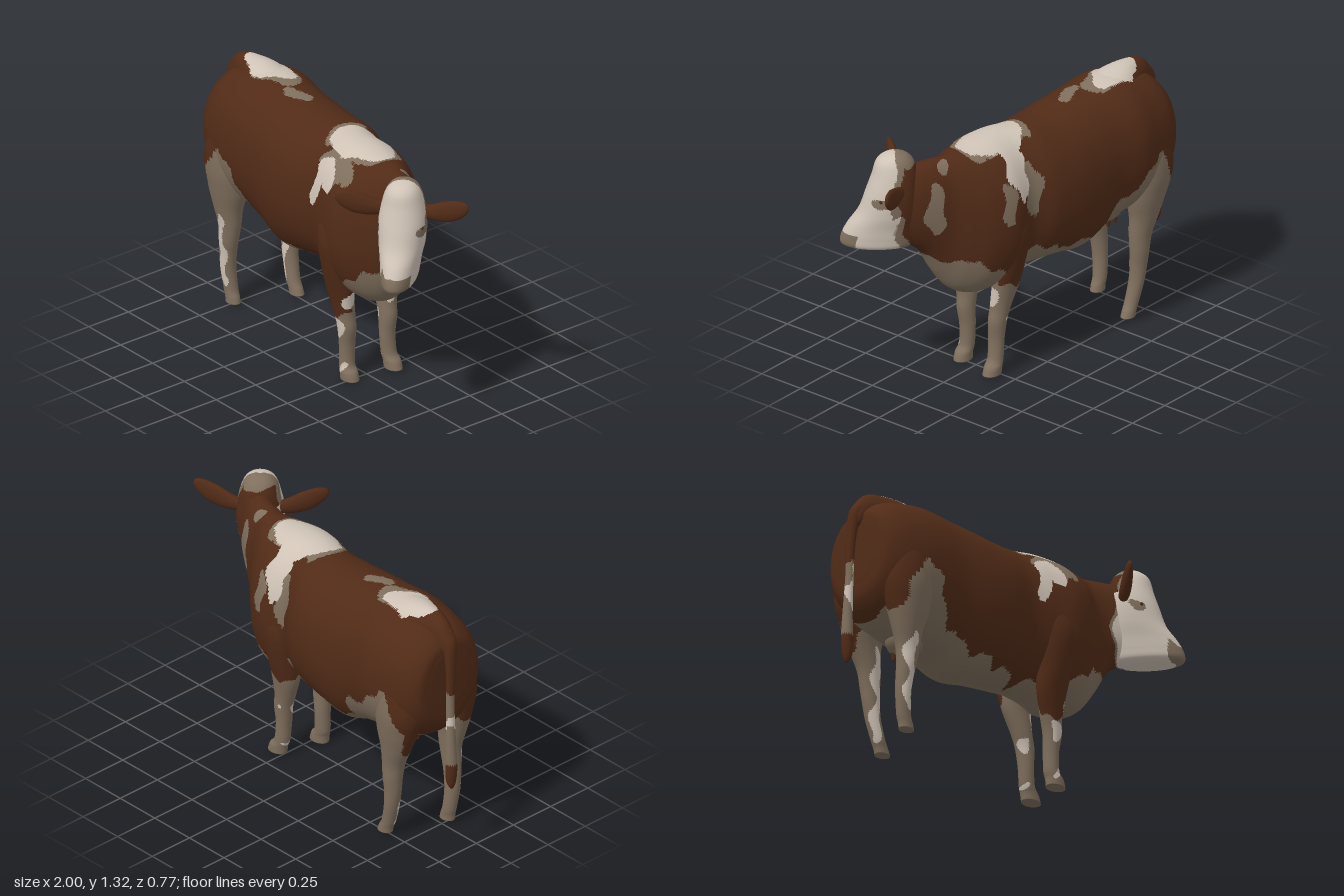
import * as THREE from 'three';

const material = (name, color) => Object.assign(new THREE.MeshStandardMaterial({ color }), { name });
const BROWN = 0, TAUPE = 1, CREAM = 2;
const coat = [material('brownCoat', 0x512b17), material('taupeCoat', 0x7f6f5d), material('creamCoat', 0xcfc3b6)];
const X = new THREE.Vector3(1, 0, 0), Y = new THREE.Vector3(0, 1, 0), Z = new THREE.Vector3(0, 0, 1);

// The head is turned towards +z: F points along the face, T towards its far ear
const F = new THREE.Vector3(0.63, 0, 0.777), T = new THREE.Vector3(0.777, 0, -0.63);
const headOrigin = new THREE.Vector3(0.72, 0, 0.15);
const headPoint = (s, y, t) => headOrigin.clone().addScaledVector(F, s).addScaledVector(T, t).setY(y);

// Smooth closed loft through rows of [x, y, z, halfU, halfV]; paint(x, y, z) picks each face's colour
function loft(name, rows, U, V, paint, { steps = 60, sides = 32, power = 2 } = {}) {
  const centres = new THREE.CatmullRomCurve3(rows.map(r => new THREE.Vector3(r[0], r[1], r[2])), false, 'catmullrom');
  const sizes = new THREE.CatmullRomCurve3(rows.map(r => new THREE.Vector3(r[3], r[4], 0)), false, 'catmullrom');
  const pos = [], faces = [[], [], []];
  const bend = c => Math.sign(c) * Math.abs(c) ** (2 / power);
  for (let i = 0; i <= steps; i++) {
    const c = centres.getPoint(i / steps), s = sizes.getPoint(i / steps);
    for (let j = 0; j < sides; j++) {
      const a = j / sides * Math.PI * 2;
      const p = c.clone().addScaledVector(U, s.x * bend(Math.cos(a))).addScaledVector(V, s.y * bend(Math.sin(a)));
      pos.push(p.x, p.y, p.z);
    }
  }
  const first = pos.length / 3, last = first + 1;
  for (const r of [rows[0], rows[rows.length - 1]]) pos.push(r[0], r[1], r[2]);
  const add = (...tri) => {
    const mid = k => (pos[tri[0] * 3 + k] + pos[tri[1] * 3 + k] + pos[tri[2] * 3 + k]) / 3;
    faces[paint(mid(0), mid(1), mid(2))].push(...tri);
  };
  for (let j = 0; j < sides; j++) {
    const k = (j + 1) % sides;
    add(first, k, j);
    add(last, steps * sides + j, steps * sides + k);
    for (let i = 0; i < steps; i++) {
      const a = i * sides + j, b = i * sides + k;
      add(a, b, a + sides);
      add(b, b + sides, a + sides);
    }
  }
  const g = new THREE.BufferGeometry();
  g.setAttribute('position', new THREE.Float32BufferAttribute(pos, 3));
  g.setIndex(faces.flat());
  let start = 0;
  faces.forEach((f, m) => { if (f.length) g.addGroup(start, f.length, m); start += f.length; });
  g.computeVertexNormals();
  return Object.assign(new THREE.Mesh(g, coat), { name });
}

// Ragged ellipsoid patches [colour, x, y, z, rx, ry, rz]; later ones lie on top
function patched(base, patches) {
  return (x, y, z) => {
    const wx = x + 0.014 * Math.sin(31 * y + 19 * z), wy = y + 0.016 * Math.sin(37 * x + 1) + 0.008 * Math.sin(71 * x);
    const wz = z + 0.014 * Math.sin(29 * x + 23 * y);
    let colour = base(wx, wy, wz);
    for (const [m, cx, cy, cz, rx, ry, rz] of patches)
      if (((wx - cx) / rx) ** 2 + ((wy - cy) / ry) ** 2 + ((wz - cz) / rz) ** 2 < 1) colour = m;
    return colour;
  };
}

// Height of the pale underside along the body
const edge = [[-1, 0.55], [-0.86, 0.6], [-0.8, 0.8], [-0.7, 0.92], [-0.62, 0.85], [-0.55, 0.68], [-0.35, 0.56],
  [0, 0.54], [0.25, 0.52], [0.32, 0.62], [0.4, 0.66], [0.5, 0.71], [0.7, 0.71], [1, 0.71]];
function underside(x, y) {
  const i = Math.max(1, edge.findIndex(e => e[0] > x)), [a, b] = [edge[i - 1], edge[i]];
  return y < a[1] + (b[1] - a[1]) * (x - a[0]) / (b[0] - a[0]) ? TAUPE : BROWN;
}

const bodyPaint = patched(underside, [
  // rump, flank and belly
  [TAUPE, -0.62, 1.3, -0.11, 0.18, 0.09, 0.09],
  [CREAM, -0.66, 1.31, -0.12, 0.15, 0.09, 0.1],
  [TAUPE, -0.37, 1.28, -0.07, 0.08, 0.05, 0.04],
  [TAUPE, -0.52, 0.64, -0.3, 0.13, 0.13, 0.16],
  [TAUPE, -0.15, 0.5, -0.22, 0.36, 0.1, 0.2],
  [TAUPE, 0.08, 0.58, -0.25, 0.14, 0.08, 0.16],
  // withers and shoulder
  [TAUPE, 0.2, 1.28, -0.04, 0.23, 0.1, 0.24],
  [TAUPE, 0.19, 1.17, 0.18, 0.16, 0.08, 0.12],
  [TAUPE, 0.12, 1.0, -0.27, 0.05, 0.15, 0.12],
  [TAUPE, 0.29, 0.98, -0.27, 0.04, 0.12, 0.12],
  [CREAM, 0.18, 1.28, -0.05, 0.17, 0.12, 0.19],
  [CREAM, 0.3, 1.27, 0, 0.1, 0.05, 0.1],
  [CREAM, 0.13, 1.14, 0.2, 0.095, 0.09, 0.1],
  [CREAM, 0.075, 1.01, 0.2, 0.035, 0.1, 0.14],
  [CREAM, 0.2, 1.15, -0.24, 0.07, 0.17, 0.12],
  // throat and neck
  [TAUPE, 0.65, 0.95, 0.15, 0.09, 0.19, 0.1],
  [CREAM, 0.68, 0.93, 0.16, 0.105, 0.18, 0.1],
  [TAUPE, 0.62, 1.0, -0.05, 0.045, 0.15, 0.07],
  [TAUPE, 0.55, 1.24, -0.05, 0.05, 0.05, 0.05],
]);

// Torso and neck, then the ridge over the rump: [x, top, bottom, z, half width]
const spans = list => list.map(([x, top, bottom, z, w]) => [x, (top + bottom) / 2, z, (top - bottom) / 2, w]);
const torso = spans([
  [-0.93, 1.13, 0.82, -0.11, 0.12], [-0.915, 1.19, 0.72, -0.11, 0.2], [-0.84, 1.25, 0.63, -0.11, 0.25],
  [-0.72, 1.285, 0.58, -0.105, 0.275], [-0.6, 1.3, 0.57, -0.105, 0.285], [-0.45, 1.285, 0.53, -0.09, 0.275],
  [-0.3, 1.27, 0.475, -0.08, 0.283], [-0.15, 1.255, 0.5, -0.075, 0.28], [0, 1.26, 0.515, -0.07, 0.255],
  [0.12, 1.265, 0.5, -0.03, 0.237], [0.25, 1.26, 0.46, -0.02, 0.257], [0.37, 1.245, 0.46, -0.01, 0.225],
  [0.46, 1.24, 0.51, 0, 0.165], [0.53, 1.24, 0.61, 0.025, 0.128], [0.6, 1.24, 0.74, 0.05, 0.118],
  [0.68, 1.235, 0.81, 0.09, 0.108], [0.74, 1.2, 0.86, 0.12, 0.085],
]);
const ridge = spans([[-0.955, 1.18, 1.12, -0.115, 0.02], [-0.935, 1.235, 1.1, -0.115, 0.042],
  [-0.88, 1.295, 1.1, -0.112, 0.058], [-0.8, 1.317, 1.08, -0.11, 0.085], [-0.68, 1.315, 1.06, -0.11, 0.13],
  [-0.5, 1.275, 1.05, -0.1, 0.14]]);

// Legs on the +z side, hip to hoof
const hindLeg = [[-0.745, 1.08, 0.045, 0.1, 0.08], [-0.745, 0.92, 0.055, 0.14, 0.11], [-0.75, 0.78, 0.062, 0.145, 0.11],
  [-0.752, 0.66, 0.065, 0.12, 0.09], [-0.755, 0.55, 0.065, 0.086, 0.068], [-0.75, 0.45, 0.06, 0.064, 0.054],
  [-0.757, 0.36, 0.06, 0.053, 0.048], [-0.767, 0.28, 0.056, 0.045, 0.043], [-0.77, 0.19, 0.052, 0.039, 0.04],
  [-0.76, 0.09, 0.045, 0.037, 0.036], [-0.747, 0.045, 0.045, 0.04, 0.034], [-0.742, 0.015, 0.045, 0.043, 0.034]];
const foreLeg = [[0.22, 1.0, 0.1, 0.1, 0.09], [0.21, 0.88, 0.115, 0.13, 0.11], [0.2, 0.76, 0.125, 0.12, 0.11],
  [0.19, 0.6, 0.125, 0.096, 0.08], [0.187, 0.48, 0.115, 0.082, 0.06], [0.2, 0.36, 0.1, 0.058, 0.05],
  [0.212, 0.28, 0.095, 0.05, 0.046], [0.208, 0.18, 0.09, 0.039, 0.042], [0.21, 0.08, 0.092, 0.04, 0.04],
  [0.228, 0.04, 0.095, 0.05, 0.042], [0.236, 0, 0.095, 0.055, 0.042]];
const farSide = (leg, mirror, shift, lift) => leg.map(([x, y, z, a, b]) =>
  [x + shift * Math.max(0, 1 - y / 0.8), y + lift * Math.max(0, 1 - y), 2 * mirror - z, a, b]);
const streaks = (x, z) => [
  [CREAM, x, 0.44, z + 0.04, 0.035, 0.14, 0.045], [CREAM, x, 0.22, z + 0.04, 0.026, 0.15, 0.045]];
const foreSpots = (x, z, dz) => [
  [CREAM, x, 0.3, z + dz, 0.035, 0.06, 0.05], [CREAM, x + 0.04, 0.42, z, 0.04, 0.06, 0.04],
  [CREAM, x + 0.01, 0.07, z + dz, 0.025, 0.022, 0.04]];

export function createModel() {
  const cow = new THREE.Group();
  cow.name = 'cow';
  cow.add(loft('body', torso, Y, Z, bodyPaint, { steps: 220, sides: 110, power: 2.15 }));
  cow.add(loft('rumpRidge', ridge, Y, Z, bodyPaint, { steps: 80, sides: 48 }));

  // Legs
  const leg = (name, rows, base, spots) => cow.add(loft(name, rows, X, Z, patched(base, spots), { steps: 110, sides: 40 }));
  leg('leftHindLeg', hindLeg, underside, streaks(-0.765, 0.055));
  leg('rightHindLeg', farSide(hindLeg, -0.105, 0.13, 0), underside,
    [[BROWN, -0.85, 0.66, -0.24, 0.06, 0.2, 0.12], ...streaks(-0.68, -0.26)]);
  leg('leftForeLeg', foreLeg, (x, y, z) => y > 0.66 || (y > 0.36 && z > 0.09) ? BROWN : TAUPE, foreSpots(0.2, 0.1, 0.04));
  leg('rightForeLeg', farSide(foreLeg, -0.02, 0.055, 0.012),
    (x, y, z) => y > 0.66 || (y > 0.5 && z < -0.16) ? BROWN : TAUPE, foreSpots(0.23, -0.14, 0.02));

  // Head, in level slices: [y, back, front, half width]
  const slices = [[1.31, -0.04, 0, 0.025], [1.295, -0.08, 0.045, 0.058], [1.26, -0.11, 0.08, 0.085], [1.19, -0.13, 0.1, 0.106],
    [1.1, -0.14, 0.13, 0.12], [1.0, -0.145, 0.165, 0.115], [0.92, -0.145, 0.22, 0.1], [0.86, -0.135, 0.25, 0.092],
    [0.815, -0.11, 0.252, 0.083], [0.795, -0.05, 0.21, 0.055]];
  const headRows = slices.map(([y, b, f, w]) => [...headPoint((b + f) / 2, y, 0).toArray(), (f - b) / 2, w]);
  const eyePatch = t => [TAUPE, ...headPoint(0.035, 1.08, t).toArray(), 0.05, 0.028, 0.05];
  const face = (x, y, z) => {
    const s = (x - headOrigin.x) * F.x + (z - headOrigin.z) * F.z;
    const t = (x - headOrigin.x) * T.x + (z - headOrigin.z) * T.z;
    const hairline = y > 1.14 ? -0.015 : t < 0.02 ? -0.09 : y > 0.98 ? 0.01 : -0.03;
    if (y < 0.89 && s > 0.175) return TAUPE;
    return s > hairline ? CREAM : s > hairline - 0.04 || y > 1.26 ? TAUPE : BROWN;
  };
  cow.add(loft('head', headRows, F, T.clone().negate(), patched(face, [eyePatch(-0.1), eyePatch(0.1)]),
    { steps: 100, sides: 72, power: 2.1 }));

  // Ears, rising and sweeping forward, and eyes on both sides of the head
  for (const side of [-1, 1]) {
    const ear = [[0.08, 1.135, 0.03, 0.025], [0.14, 1.14, 0.042, 0.028], [0.2, 1.155, 0.055, 0.028],
      [0.26, 1.173, 0.056, 0.024], [0.31, 1.192, 0.04, 0.016], [0.335, 1.202, 0.016, 0.008]]
      .map(([t, y, a, b]) => [...headPoint(-0.065 + t * 0.26, y, side * t).toArray(), a, b]);
    cow.add(loft(side < 0 ? 'rightEar' : 'leftEar', ear, Y, F.clone().multiplyScalar(side), () => BROWN, { steps: 20, sides: 16 }));
    const eye = new THREE.Mesh(new THREE.SphereGeometry(0.012, 12, 8), coat[BROWN]);
    eye.position.copy(headPoint(0.05, 1.085, side * 0.104));
    eye.name = 'eye';
    cow.add(eye);
  }

  // Tail, hanging from the rump ridge, with a pale middle and a brown switch
  const tail = [[-0.88, 1.25, -0.112, 0.045, 0.042], [-0.93, 1.19, -0.116, 0.034, 0.038],
    [-0.948, 1.1, -0.125, 0.026, 0.032], [-0.955, 1, -0.13, 0.021, 0.026], [-0.957, 0.85, -0.135, 0.019, 0.022],
    [-0.965, 0.65, -0.14, 0.025, 0.026], [-0.97, 0.5, -0.14, 0.03, 0.03], [-0.968, 0.41, -0.14, 0.024, 0.025],
    [-0.972, 0.37, -0.14, 0.008, 0.008]];
  cow.add(loft('tail', tail, X, Z, patched((x, y) => y > 0.92 || y < 0.52 ? BROWN : TAUPE,
    [[CREAM, -0.95, 0.76, -0.11, 0.025, 0.15, 0.04]]), { steps: 70, sides: 20 }));

  // Udder with four teats
  const udder = new THREE.Mesh(new THREE.SphereGeometry(1, 28, 18), coat[TAUPE]);
  udder.scale.set(0.1, 0.085, 0.09);
  udder.position.set(-0.61, 0.585, -0.105);
  udder.name = 'udder';
  cow.add(udder);
  for (const x of [-0.65, -0.6]) for (const z of [-0.14, -0.07]) {
    const teat = new THREE.Mesh(new THREE.CylinderGeometry(0.015, 0.008, 0.05, 10), coat[BROWN]);
    teat.position.set(x, 0.505, z);
    teat.name = 'teat';
    cow.add(teat);
  }
  return cow;
}
